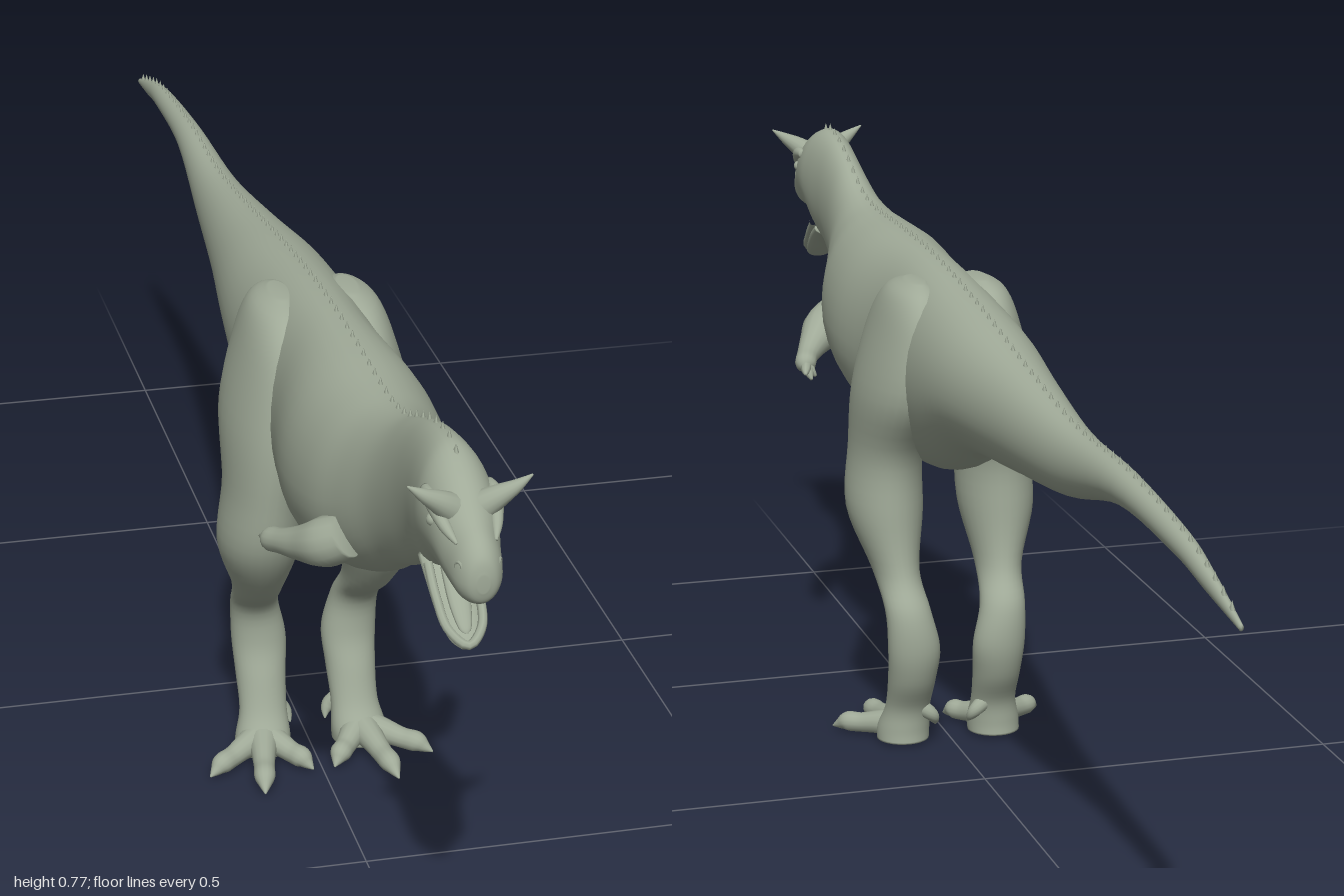
import * as THREE from 'three';
import { mergeGeometries } from 'three/addons/utils/BufferGeometryUtils.js';

const V = (x, y, z) => new THREE.Vector3(x, y, z);
const skinMat = new THREE.MeshStandardMaterial({ color: 0xa0aa98 });
skinMat.name = 'grey green skin';

// Catmull-Rom refinement of rows of numbers
function refine(rows, steps) {
  const out = [], at = i => rows[Math.min(Math.max(i, 0), rows.length - 1)];
  for (let i = 0; i < rows.length - 1; i++) {
    for (let s = 0; s < steps; s++) {
      const t = s / steps;
      out.push(rows[i].map((p1, k) => {
        const p0 = at(i - 1)[k], p2 = at(i + 1)[k], p3 = at(i + 2)[k];
        return 0.5 * (2 * p1 + (p2 - p0) * t + (2 * p0 - 5 * p1 + 4 * p2 - p3) * t * t
          + (3 * p1 - p0 - 3 * p2 + p3) * t * t * t);
      }));
    }
  }
  out.push(rows[rows.length - 1]);
  return out;
}

// Smooth closed surface through a list of rings of equal length
function skin(rings) {
  const n = rings[0].length, pos = [], idx = [];
  rings.forEach(r => r.forEach(p => pos.push(p.x, p.y, p.z)));
  for (let i = 0; i < rings.length - 1; i++) {
    for (let j = 0; j < n; j++) {
      const a = i * n + j, b = i * n + (j + 1) % n;
      idx.push(a, b, a + n, b, b + n, a + n);
    }
  }
  [0, rings.length - 1].forEach((ri, end) => {
    const c = V(0, 0, 0);
    rings[ri].forEach(p => c.addScaledVector(p, 1 / n));
    const ci = pos.length / 3;
    pos.push(c.x, c.y, c.z);
    for (let j = 0; j < n; j++) {
      const a = ri * n + j, b = ri * n + (j + 1) % n;
      if (end) idx.push(ci, a, b); else idx.push(ci, b, a);
    }
  });
  const g = new THREE.BufferGeometry();
  g.setAttribute('position', new THREE.Float32BufferAttribute(pos, 3));
  g.setIndex(idx);
  g.computeVertexNormals();
  return g;
}

const ring = (n, f) => Array.from({ length: n }, (_, j) => {
  const a = j / n * Math.PI * 2;
  return f(Math.cos(a), Math.sin(a));
});

// Tapered limb along points [x, y, z, radius], flattened vertically by "flat"
function limb(points, flat = 1, sides = 14) {
  const rows = refine(points, 5);
  const c = rows.map(r => V(r[0], r[1], r[2]));
  return skin(rows.map((r, i) => {
    const t = c[Math.min(i + 1, c.length - 1)].clone().sub(c[Math.max(i - 1, 0)]).normalize();
    const u = V(0, 1, 0).cross(t).normalize(), v = t.clone().cross(u);
    const rad = Math.max(r[3], 0.0005);
    return ring(sides, (x, y) => c[i].clone().addScaledVector(u, x * rad).addScaledVector(v, y * rad * flat));
  }));
}

// Sections from tail tip to snout: z, top, bottom, half width, height fraction of widest point
const BODY = [
  [-1, 0.538, 0.53, 0.003, 0.5], [-0.9, 0.568, 0.543, 0.009, 0.5], [-0.8, 0.589, 0.557, 0.014, 0.5],
  [-0.6, 0.606, 0.56, 0.02, 0.5], [-0.4, 0.607, 0.516, 0.034, 0.5], [-0.2, 0.63, 0.493, 0.054, 0.5],
  [-0.03, 0.655, 0.472, 0.075, 0.48], [0.09, 0.67, 0.42, 0.083, 0.5], [0.2, 0.681, 0.393, 0.083, 0.5],
  [0.31, 0.687, 0.39, 0.083, 0.48], [0.44, 0.688, 0.412, 0.099, 0.46], [0.54, 0.686, 0.438, 0.092, 0.45],
  [0.61, 0.689, 0.47, 0.07, 0.45], [0.67, 0.702, 0.507, 0.049, 0.5], [0.73, 0.727, 0.538, 0.039, 0.5],
  [0.79, 0.748, 0.571, 0.037, 0.5], [0.845, 0.757, 0.59, 0.041, 0.5], [0.88, 0.752, 0.612, 0.043, 0.5],
  [0.92, 0.733, 0.619, 0.039, 0.5], [0.955, 0.707, 0.616, 0.032, 0.45], [0.98, 0.692, 0.616, 0.027, 0.42],
  [0.995, 0.676, 0.623, 0.018, 0.45], [1, 0.658, 0.637, 0.007, 0.5],
];

// Leg rings from hip to sole: x, y, z, half width, half depth
const LEG = [
  [0.045, 0.668, 0.19, 0.012, 0.03], [0.048, 0.65, 0.195, 0.035, 0.075], [0.056, 0.6, 0.203, 0.046, 0.108],
  [0.068, 0.51, 0.212, 0.056, 0.114], [0.077, 0.42, 0.236, 0.05, 0.084], [0.081, 0.335, 0.229, 0.053, 0.073],
  [0.075, 0.255, 0.194, 0.033, 0.048], [0.069, 0.205, 0.149, 0.032, 0.031], [0.062, 0.15, 0.142, 0.037, 0.03],
  [0.062, 0.1, 0.155, 0.034, 0.031], [0.063, 0.055, 0.175, 0.032, 0.027], [0.066, 0.022, 0.188, 0.037, 0.036],
  [0.067, 0.003, 0.188, 0.037, 0.037],
];

export function createModel() {
  const model = new THREE.Group();
  model.name = 'horned dinosaur';
  const add = (name, geo, parent = model) => {
    const m = new THREE.Mesh(geo, skinMat);
    m.name = name;
    parent.add(m);
    return m;
  };

  // Body, tail, neck and upper head in one smooth surface
  const rows = refine(BODY, 5);
  add('body', skin(rows.map(([z, top, bottom, w, f]) => {
    const mid = bottom + (top - bottom) * f;
    return ring(36, (x, y) => V(x * w, mid + y * (y > 0 ? top - mid : mid - bottom), z));
  })));

  // Row of small scutes along the spine
  const scutes = [];
  for (let z = -0.97; z < 0.9; z += 0.028) {
    const i = rows.findIndex(r => r[0] >= z), a = rows[i - 1], b = rows[i];
    const y = a[1] + (b[1] - a[1]) * (z - a[0]) / (b[0] - a[0]);
    scutes.push(new THREE.ConeGeometry(0.005, 0.012, 6).scale(0.7, 1, 1.4).translate(0, y + 0.003, z));
  }
  add('spineScutes', mergeGeometries(scutes));

  // Open lower jaw with a raised rim and tongue
  add('lowerJaw', limb([[0, 0.607, 0.835, 0.03], [0, 0.589, 0.87, 0.029], [0, 0.566, 0.905, 0.026],
    [0, 0.549, 0.933, 0.019], [0, 0.542, 0.946, 0.008]], 0.4, 18));
  const rim = [[0.026, 0.61, 0.865], [0.025, 0.584, 0.898], [0.019, 0.559, 0.932], [0, 0.546, 0.948]];
  const rimPath = [...rim, ...rim.slice(0, 3).reverse().map(([x, y, z]) => [-x, y, z])];
  add('jawRim', new THREE.TubeGeometry(new THREE.CatmullRomCurve3(rimPath.map(p => V(...p))), 36, 0.0055, 8));
  add('tongue', limb([[0, 0.606, 0.87, 0.013], [0, 0.58, 0.905, 0.013], [0, 0.56, 0.93, 0.008], [0, 0.555, 0.937, 0.002]], 0.5));

  // Everything paired is built on the left, then mirrored
  for (const s of [1, -1]) {
    const side = new THREE.Group();
    side.name = s > 0 ? 'leftSide' : 'rightSide';
    side.scale.x = s;
    model.add(side);

    add('leg', skin(refine(LEG, 5).map(([x, y, z, w, d]) =>
      ring(28, (c, t) => V(x + w * c, y, z + d * t)))), side);

    // Three splayed toes with claws, and a small raised rear toe
    for (const [x, z] of [[0.15, 0.255], [0.09, 0.312], [0.016, 0.265]]) {
      const p = (t, y, r) => [0.067 + (x - 0.067) * t, y, 0.19 + (z - 0.19) * t, r];
      add('toe', limb([p(0, 0.022, 0.024), p(0.35, 0.019, 0.017), p(0.6, 0.015, 0.014), p(0.8, 0.014, 0.014),
        p(0.92, 0.009, 0.008), p(1.03, 0.004, 0.001)]), side);
    }
    add('rearToe', limb([[0.05, 0.055, 0.165, 0.012], [0.034, 0.044, 0.16, 0.01],
      [0.027, 0.034, 0.163, 0.007], [0.024, 0.024, 0.17, 0.001]]), side);

    // Short arm swept back, with stubby fingers
    add('arm', limb([[0.055, 0.525, 0.61, 0.028], [0.078, 0.508, 0.59, 0.031], [0.1, 0.494, 0.56, 0.022],
      [0.117, 0.484, 0.53, 0.016], [0.126, 0.477, 0.507, 0.015], [0.129, 0.473, 0.497, 0.006]]), side);
    for (const [x, y, z] of [[0.133, 0.468, 0.478], [0.122, 0.458, 0.485], [0.113, 0.46, 0.496]]) {
      add('finger', limb([[0.124, 0.478, 0.508, 0.008], [(x + 0.126) / 2, (y + 0.476) / 2, (z + 0.503) / 2, 0.007], [x, y, z, 0.002]], 1, 8), side);
    }

    // Brow horn, brow ridge, eye and nostril
    add('horn', limb([[0.014, 0.704, 0.925, 0.019], [0.032, 0.718, 0.932, 0.014], [0.052, 0.731, 0.937, 0.008],
      [0.071, 0.744, 0.938, 0.001]]), side);
    add('browRidge', limb([[0.036, 0.714, 0.885, 0.006], [0.036, 0.711, 0.91, 0.009],
      [0.029, 0.694, 0.945, 0.007], [0.022, 0.684, 0.968, 0.002]]), side);
    add('eye', new THREE.SphereGeometry(0.008, 14, 10).translate(0.035, 0.69, 0.915), side);
    add('nostril', new THREE.TorusGeometry(0.005, 0.002, 6, 12).rotateY(1.1).translate(0.023, 0.663, 0.981), side);
  }
  return model;
}
